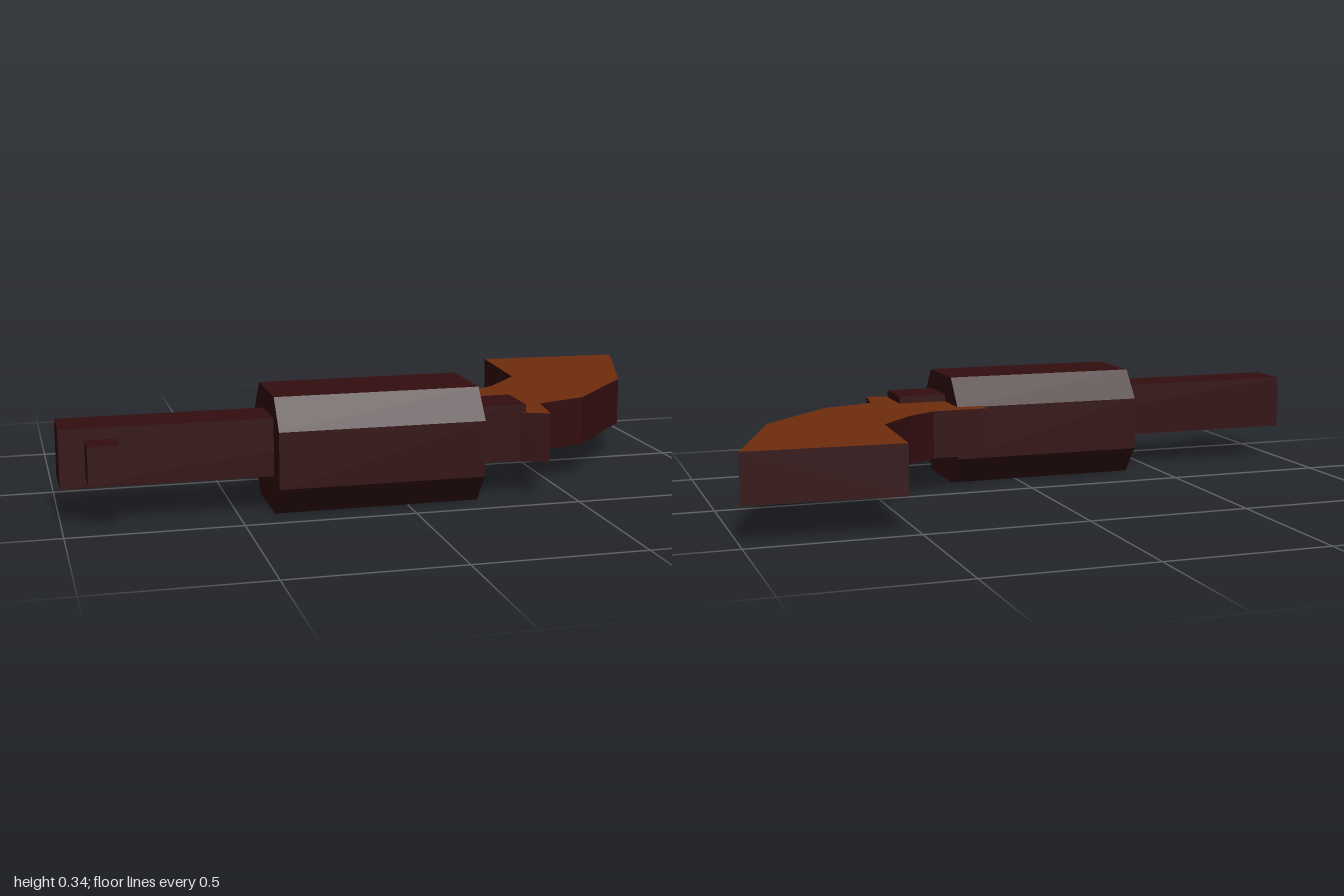
import * as THREE from 'three';

const darkMetal = new THREE.MeshStandardMaterial({ color: 0x330e10 });
darkMetal.name = 'darkMetal';
const brownWood = new THREE.MeshStandardMaterial({ color: 0x702c0d });
brownWood.name = 'brownWood';

// Flat-sided solid from a 2D outline
function extrude(points, depth) {
  const shape = new THREE.Shape(points.map(([a, b]) => new THREE.Vector2(a, b)));
  return new THREE.ExtrudeGeometry(shape, { depth, bevelEnabled: false });
}

// Box given by its low and high corners
function box(name, lo, hi) {
  const size = hi.map((v, i) => v - lo[i]);
  const mesh = new THREE.Mesh(new THREE.BoxGeometry(...size), darkMetal);
  mesh.position.set(...hi.map((v, i) => (v + lo[i]) / 2));
  mesh.name = name;
  return mesh;
}

export function createModel() {
  const model = new THREE.Group();
  model.name = 'revolver';

  // Square barrel running through the drum, with a small sight near the muzzle
  model.add(box('barrel', [-1, 0.109, 0.24], [0.367, 0.279, 0.393]));
  model.add(box('frontSight', [-0.928, 0.14, 0.38], [-0.838, 0.246, 0.48]));

  // Eight-sided drum along x
  const [w, h, cw, ch] = [0.186, 0.171, 0.115, 0.083];
  const octagon = [
    [w, -ch], [w, ch], [cw, h], [-cw, h], [-w, ch], [-w, -ch], [-cw, -h], [cw, -h],
  ];
  const drum = new THREE.Mesh(extrude(octagon, 0.61).rotateY(Math.PI / 2), darkMetal);
  drum.position.set(-0.395, 0.171, 0.286);
  drum.name = 'drum';
  model.add(drum);

  // Curved grip lying flat: wooden cheeks, dark rim; outline as [x, z]
  const gripOutline = [
    [0.135, 0.05], [0.31, 0.045], [0.4, -0.015], [0.515, -0.147], [0.532, -0.48],
    [0.995, -0.456], [0.84, -0.02], [0.612, 0.23], [0.452, 0.285], [0.43, 0.432],
    [0.34, 0.39], [0.135, 0.39],
  ];
  const gripGeometry = extrude(gripOutline.map(([x, z]) => [x, -z]), 0.149).rotateX(-Math.PI / 2);
  const grip = new THREE.Mesh(gripGeometry, [brownWood, darkMetal]);
  grip.position.y = 0.107;
  grip.name = 'grip';
  model.add(grip);

  return model;
}
